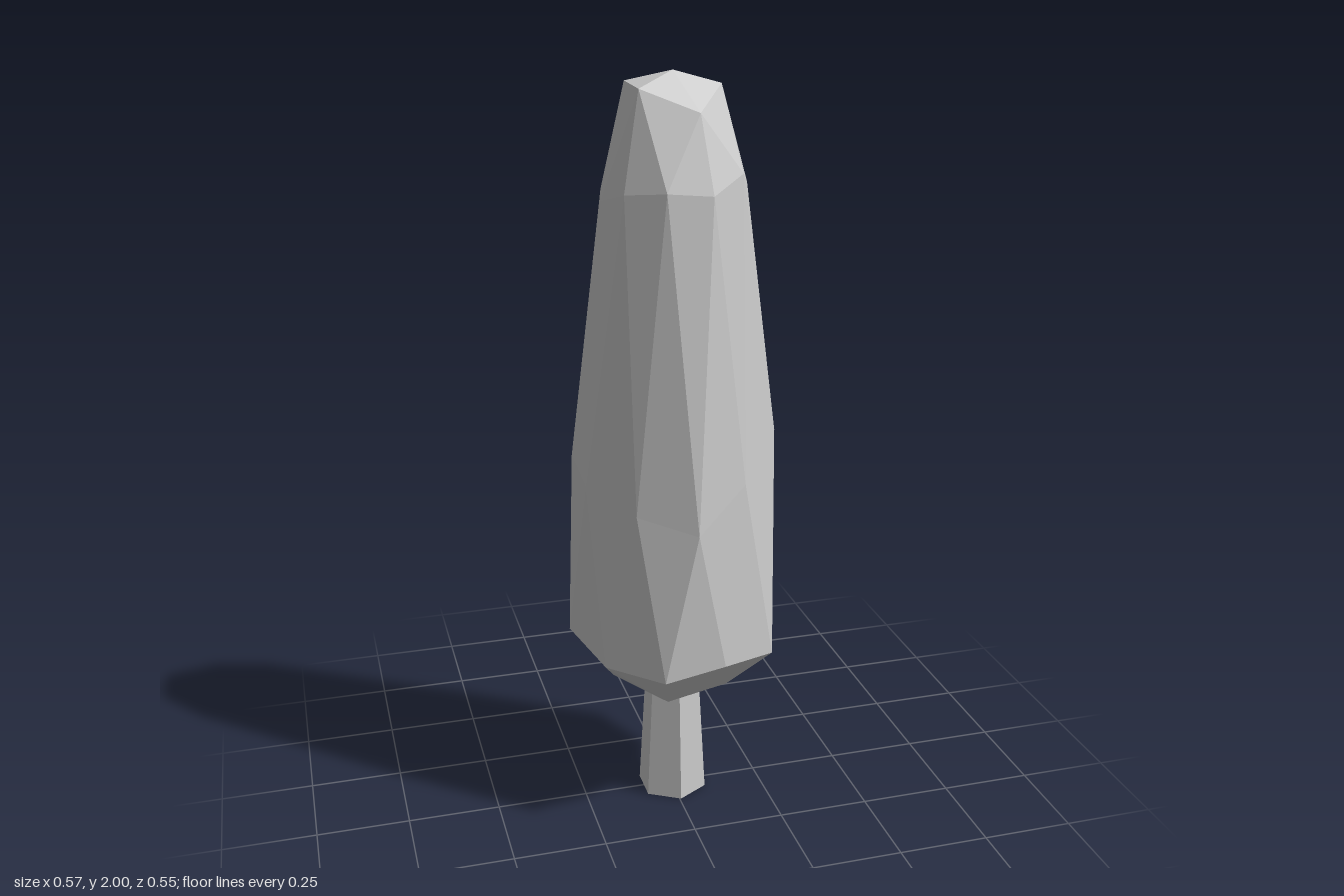
import * as THREE from 'three';

// Ring of points: one radius and one height per point, angles counterclockwise from above
function ring(startDeg, radii, heights) {
  return radii.map((r, i) => {
    const a = THREE.MathUtils.degToRad(startDeg + (i * 360) / radii.length);
    return [r * Math.cos(a), heights[i], -r * Math.sin(a)];
  });
}

// Crown: a once-subdivided icosphere, stretched, tapered and slightly irregular
function crownGeometry() {
  const top = [0.005, 2, 0];
  const cap = ring(0, [0.13, 0.13, 0.123, 0.123, 0.13], [1.965, 1.945, 1.97, 1.965, 1.91]);
  const shoulder = ring(0,
    [0.2, 0.193, 0.198, 0.174, 0.19, 0.18, 0.18, 0.183, 0.19, 0.19],
    [1.72, 1.73, 1.71, 1.72, 1.7, 1.69, 1.72, 1.73, 1.72, 1.76]);
  const middle = ring(18,
    [0.27, 0.248, 0.255, 0.254, 0.264, 0.262, 0.246, 0.273, 0.246, 0.273],
    [0.93, 0.98, 0.9, 0.97, 1.0, 0.97, 0.92, 0.88, 0.98, 1.08]);
  const skirt = ring(0,
    [0.285, 0.29, 0.28, 0.293, 0.275, 0.285, 0.275, 0.288, 0.264, 0.294],
    [0.45, 0.515, 0.47, 0.49, 0.5, 0.53, 0.485, 0.475, 0.49, 0.47]);
  const under = ring(36, [0.16, 0.16, 0.165, 0.168, 0.164], [0.36, 0.37, 0.37, 0.355, 0.35]);
  const bottom = [-0.02, 0.315, 0];

  const positions = [];
  const face = (...corners) => corners.forEach((p) => positions.push(...p));

  // Top and bottom caps
  for (let k = 0; k < 5; k++) {
    const n = (k + 1) % 5;
    const b = 2 * k, c = b + 1, d = (b + 2) % 10, e = (b + 3) % 10;
    face(top, cap[k], cap[n]);
    face(cap[k], shoulder[b], shoulder[c]);
    face(cap[k], shoulder[c], cap[n]);
    face(cap[n], shoulder[c], shoulder[d]);
    face(bottom, under[n], under[k]);
    face(under[k], skirt[d], skirt[c]);
    face(under[k], under[n], skirt[d]);
    face(under[n], skirt[e], skirt[d]);
  }
  // Long side bands
  for (let j = 0; j < 10; j++) {
    const n = (j + 1) % 10, p = (j + 9) % 10;
    face(shoulder[j], middle[j], shoulder[n]);
    face(shoulder[j], middle[p], middle[j]);
    face(middle[j], skirt[j], skirt[n]);
    face(middle[p], skirt[j], middle[j]);
  }

  const geometry = new THREE.BufferGeometry();
  geometry.setAttribute('position', new THREE.Float32BufferAttribute(positions, 3));
  geometry.computeVertexNormals();
  return geometry;
}

export function createModel() {
  const model = new THREE.Group();
  model.name = 'tree';
  const material = new THREE.MeshStandardMaterial({ color: 0xcccccc, flatShading: true });

  const crown = new THREE.Mesh(crownGeometry(), material);
  crown.name = 'crown';

  // Six-sided trunk, narrowing upward into the crown
  const trunk = new THREE.Mesh(new THREE.CylinderGeometry(0.073, 0.097, 0.42, 6), material);
  trunk.name = 'trunk';
  trunk.position.set(0.004, 0.21, 0);

  model.add(crown, trunk);
  return model;
}
